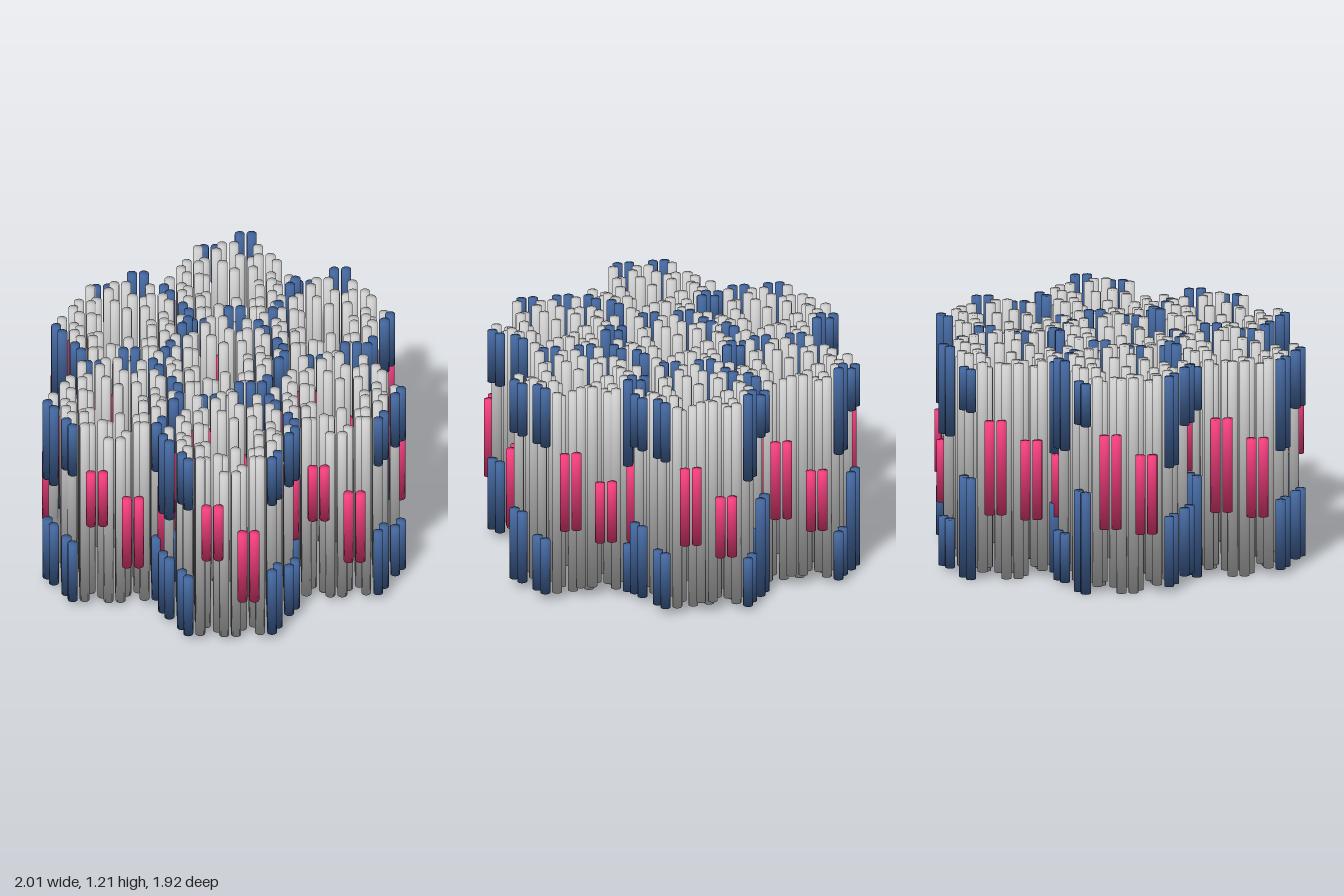
import * as THREE from 'three';

const TUBE_RADIUS = 0.026;
const PITCH = 0.062; // spacing of neighbouring tubes in the honeycomb
const ROW = PITCH * Math.sqrt(3) / 2; // spacing of honeycomb rows

// Centres [x, z] of the seven identical barrels
const CENTRES = [
  [0, -0.04], [-0.65, -0.11], [-0.195, -0.59], [0.455, -0.5],
  [0.635, 0.05], [0.265, 0.585], [-0.378, 0.5],
];

// The six sides of a barrel. Each has [bottom, top] of its wall, and two outer
// pairs of tubes, first and second, cut into short segments [bottom, top]
const SIDES = [
  { color: 'pink', wall: [0.03, 1.065], first: [[0.56, 0.89]], second: [[0.29, 0.72]] },
  { color: 'blue', wall: [0.06, 1.18], first: [[0.04, 0.43], [0.87, 1.155]], second: [[0.04, 0.34], [0.87, 1.19]] },
  { color: 'pink', wall: [0.06, 1.18], first: [[0.41, 0.835]], second: [[0.33, 0.66]] },
  { color: 'blue', wall: [0.03, 1.18], first: [[0.02, 0.28], [0.73, 1.205]], second: [[0, 0.54], [0.9, 1.125]] },
  { color: 'pink', wall: [0, 1.15], first: [[0.36, 0.86]], second: [[0.33, 0.75]] },
  { color: 'blue', wall: [0.04, 1.155], first: [[0.03, 0.4], [0.67, 1.155]], second: [[0.04, 0.4], [0.85, 1.155]] },
];

// Capped tube whose normals turn smoothly from the side into the ends
function tubeGeometry(height) {
  const geometry = new THREE.CylinderGeometry(TUBE_RADIUS, TUBE_RADIUS, height, 14);
  const { position, normal } = geometry.attributes;
  const n = new THREE.Vector3();
  for (let i = 0; i < position.count; i++) {
    n.fromBufferAttribute(position, i).divideScalar(TUBE_RADIUS);
    n.setY(Math.sign(n.y)).normalize();
    normal.setXYZ(i, n.x, n.y, n.z);
  }
  return geometry;
}

export function createModel() {
  const model = new THREE.Group();
  model.name = 'tubeBarrelCluster';
  const materials = {
    grey: new THREE.MeshStandardMaterial({ color: 0xcccccc }),
    blue: new THREE.MeshStandardMaterial({ color: 0x42659c }),
    pink: new THREE.MeshStandardMaterial({ color: 0xf23d7c }),
  };

  // One tube in a side's frame: row counts outwards, step runs along the side
  function addTube(side, name, color, row, step, [low, high]) {
    const tube = new THREE.Mesh(tubeGeometry(high - low), materials[color]);
    tube.name = name;
    tube.position.set(row * ROW, (low + high) / 2, step * PITCH);
    side.add(tube);
  }

  function createSide({ color, wall, first, second }, index) {
    const side = new THREE.Group();
    side.name = color + 'Side';
    side.rotation.y = THREE.MathUtils.degToRad(60 * index - 128);
    const [low, high] = wall;

    // Grey wall: three honeycomb rows with staggered ends, plus shared corners
    for (const step of [-0.5, 0.5]) {
      addTube(side, 'innerTube', 'grey', 3, step, [step < 0 ? 0 : 0.06, step < 0 ? 1.14 : 1.09]);
      addTube(side, 'wallTube', 'grey', 5, step, wall);
    }
    addTube(side, 'middleTube', 'grey', 4, -1, [low, high]);
    addTube(side, 'middleTube', 'grey', 4, 1, [0.02, 1.14]);
    addTube(side, 'innerCornerTube', 'grey', 4, 2, [0.05, 1.12]);
    addTube(side, 'outerCornerTube', 'grey', 5, 2.5, [0.04, 1.16]);

    // Short coloured segments on the outside
    for (const [spans, steps] of [[first, [1, 2]], [second, [-1, -2]]]) {
      for (const span of spans) {
        for (const step of steps) addTube(side, color + 'Segment', color, 6, step, span);
      }
    }
    return side;
  }

  const barrel = new THREE.Group();
  barrel.name = 'barrel';
  SIDES.forEach((spec, i) => barrel.add(createSide(spec, i)));

  for (const [x, z] of CENTRES) {
    const copy = barrel.clone();
    copy.position.set(x, 0, z);
    model.add(copy);
  }
  return model;
}
